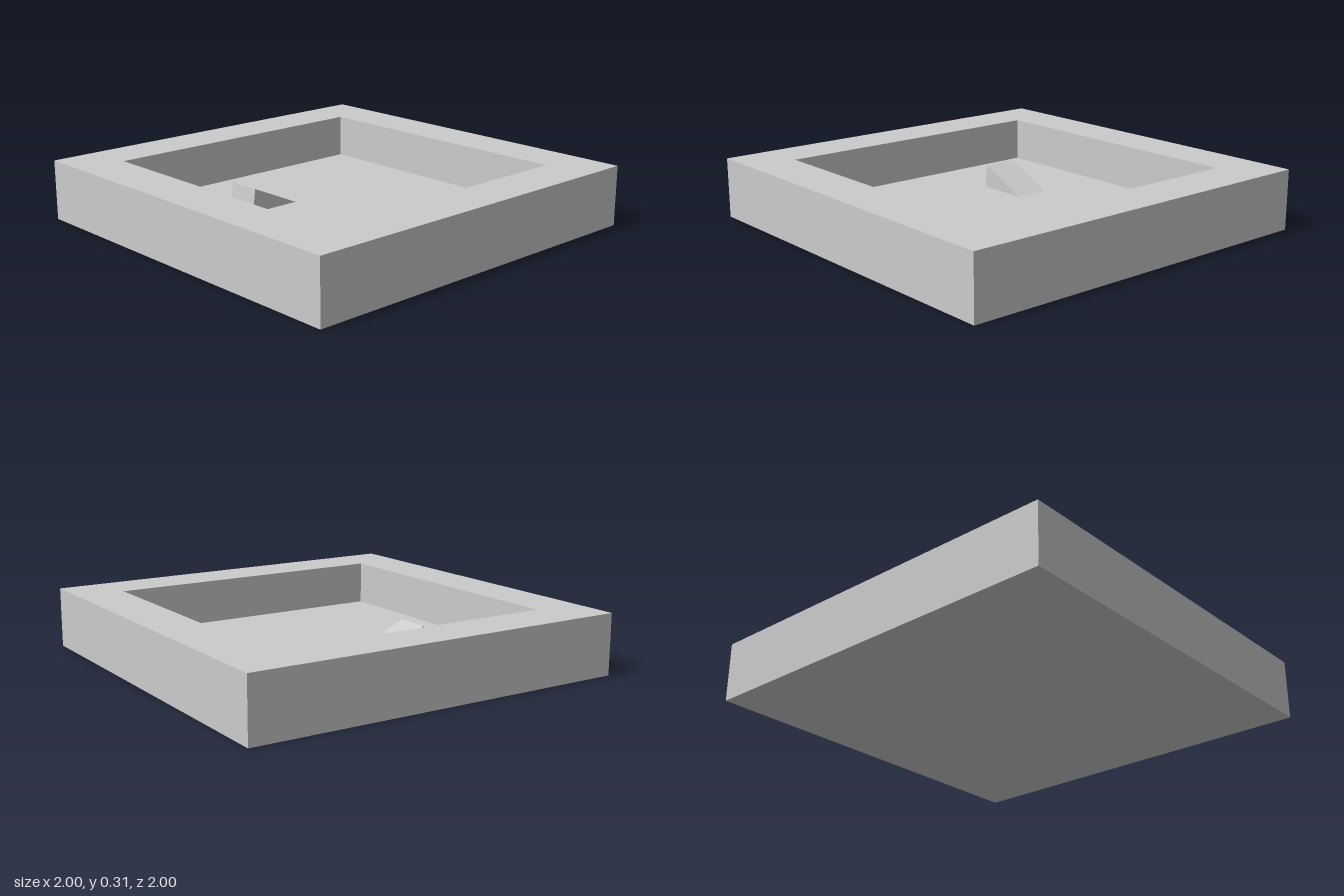
import * as THREE from 'three';

const HEIGHT = 0.31, FLOOR = 0.084, INNER = 0.75;

const material = new THREE.MeshStandardMaterial({ color: 0xcccccc, flatShading: true });

function addPart(group, name, geometry) {
  const mesh = new THREE.Mesh(geometry, material);
  mesh.name = name;
  group.add(mesh);
  return mesh;
}

// Corner points of a square with the given half side
function square(h) {
  return [[-h, -h], [h, -h], [h, h], [-h, h]].map(([x, y]) => new THREE.Vector2(x, y));
}

export function createModel() {
  const model = new THREE.Group();
  model.name = 'tray';

  // Thick square rim around the recess
  const rimShape = new THREE.Shape(square(1));
  rimShape.holes.push(new THREE.Path(square(INNER).reverse()));
  const rim = new THREE.ExtrudeGeometry(rimShape, { depth: HEIGHT, bevelEnabled: false });
  rim.rotateX(-Math.PI / 2);
  addPart(model, 'rim', rim);

  // Floor of the recess
  const floor = new THREE.BoxGeometry(2 * INNER, FLOOR, 2 * INNER);
  floor.translate(0, FLOOR / 2, 0);
  addPart(model, 'floor', floor);

  // Small ramp rising towards the front, with a slightly leaning front face
  const profile = new THREE.Shape([
    new THREE.Vector2(0.09, 0),
    new THREE.Vector2(0.37, 0),
    new THREE.Vector2(0.355, 0.12),
  ]);
  const ramp = new THREE.ExtrudeGeometry(profile, { depth: 0.18, bevelEnabled: false });
  ramp.rotateY(-Math.PI / 2);
  addPart(model, 'ramp', ramp).position.set(-0.19, FLOOR, 0);

  return model;
}
